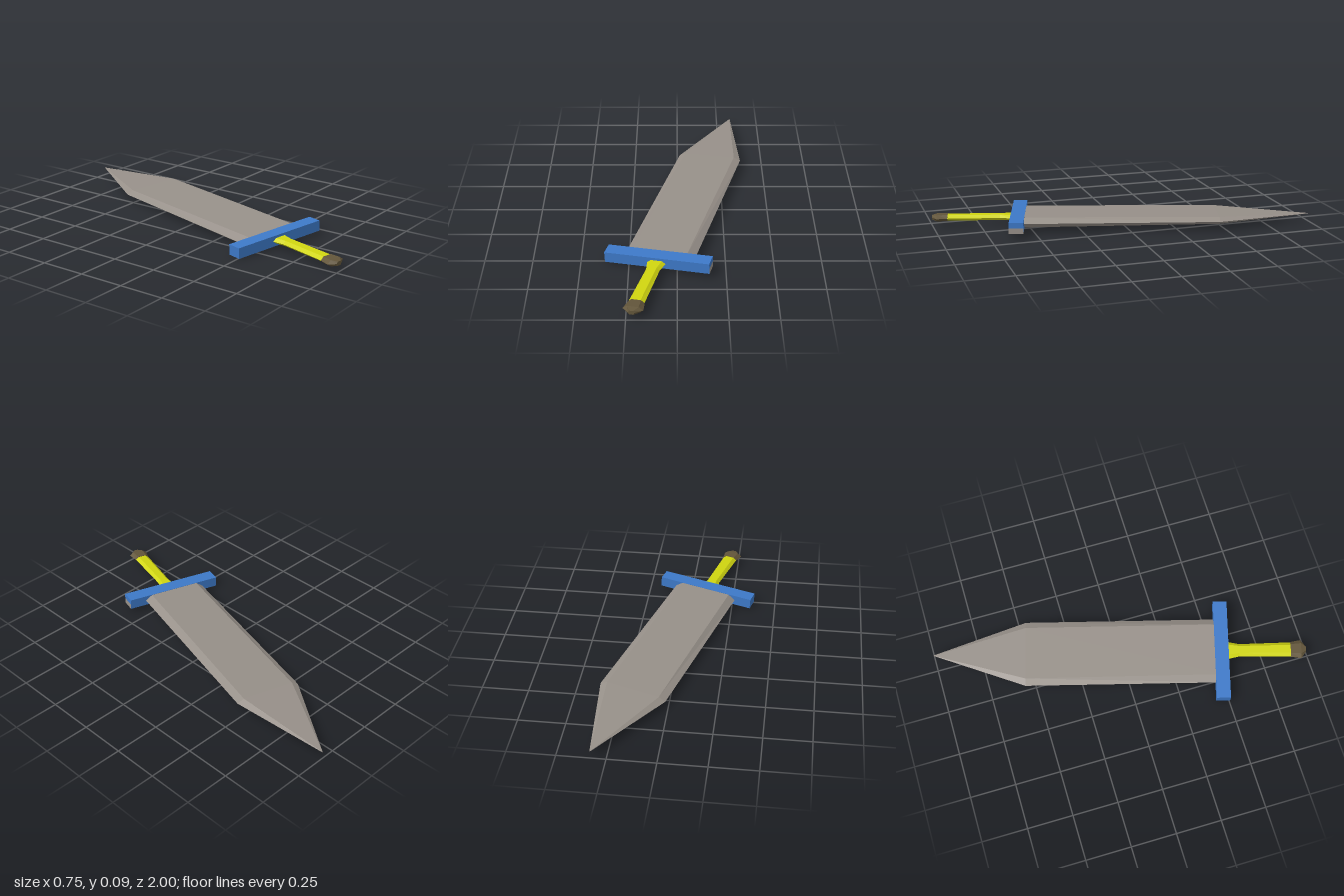
import * as THREE from 'three';

const mat = (name, color) => {
  const m = new THREE.MeshStandardMaterial({ color, flatShading: true });
  m.name = name;
  return m;
};

// Flattened six-sided loft along -z; each station is [distance, halfWidth, flatHalfWidth, halfThickness]
function hexLoft(stations) {
  const rings = stations.map(([d, w, f, h]) =>
    [[w, 0], [f, h], [-f, h], [-w, 0], [-f, -h], [f, -h]].map(([x, y]) => [x, y, -d]));
  const pos = [];
  const tri = (a, b, c) => pos.push(...a, ...b, ...c);
  for (let s = 0; s < rings.length - 1; s++) {
    const a = rings[s], b = rings[s + 1];
    for (let i = 0; i < 6; i++) {
      const j = (i + 1) % 6;
      tri(a[i], b[i], a[j]);
      tri(a[j], b[i], b[j]);
    }
  }
  const first = rings[0], last = rings[rings.length - 1];
  for (let i = 1; i < 5; i++) {
    tri(first[0], first[i], first[i + 1]);
    tri(last[0], last[i + 1], last[i]);
  }
  const g = new THREE.BufferGeometry();
  g.setAttribute('position', new THREE.Float32BufferAttribute(pos, 3));
  g.computeVertexNormals();
  return g;
}

export function createModel() {
  const steel = mat('steel grey', 0x979089);
  const blue = mat('guard blue', 0x3d79c8);
  const yellow = mat('grip yellow', 0xd0d510);
  const brown = mat('pommel brown', 0x62553a);

  const sword = new THREE.Group();
  sword.name = 'sword';
  const add = (name, geometry, material) => {
    const m = new THREE.Mesh(geometry, material);
    m.name = name;
    sword.add(m);
  };

  // Broad blade with bevelled edges and a pointed tip
  add('blade', hexLoft([
    [0.0, 0.184, 0.145, 0.028],
    [1.09, 0.184, 0.147, 0.019],
    [1.601, 0.002, 0.001, 0.001],
  ]), steel);

  // Crossguard, with the lower half of its left end in bare steel
  const guard = new THREE.BoxGeometry(0.56, 0.058, 0.077, 1, 2, 1);
  guard.clearGroups();
  guard.addGroup(0, 6, 0);
  guard.addGroup(6, 6, 1);
  guard.addGroup(12, guard.index.count - 12, 0);
  add('crossguard', guard, [blue, steel]);

  // Grip, flared where it meets the guard
  add('grip', hexLoft([
    [-0.39, 0.041, 0.022, 0.015],
    [-0.10, 0.036, 0.02, 0.015],
    [-0.035, 0.05, 0.03, 0.015],
  ]), yellow);

  // Faceted pommel
  add('pommel', hexLoft([
    [-0.471, 0.016, 0.01, 0.011],
    [-0.443, 0.053, 0.03, 0.017],
    [-0.385, 0.043, 0.025, 0.0165],
  ]), brown);

  // Lying flat, turned and slightly rolled
  sword.position.set(-0.097, 0.0435, 0.5435);
  sword.rotation.set(0, -0.269, 0.05);

  const model = new THREE.Group();
  model.name = 'model';
  model.add(sword);
  return model;
}
